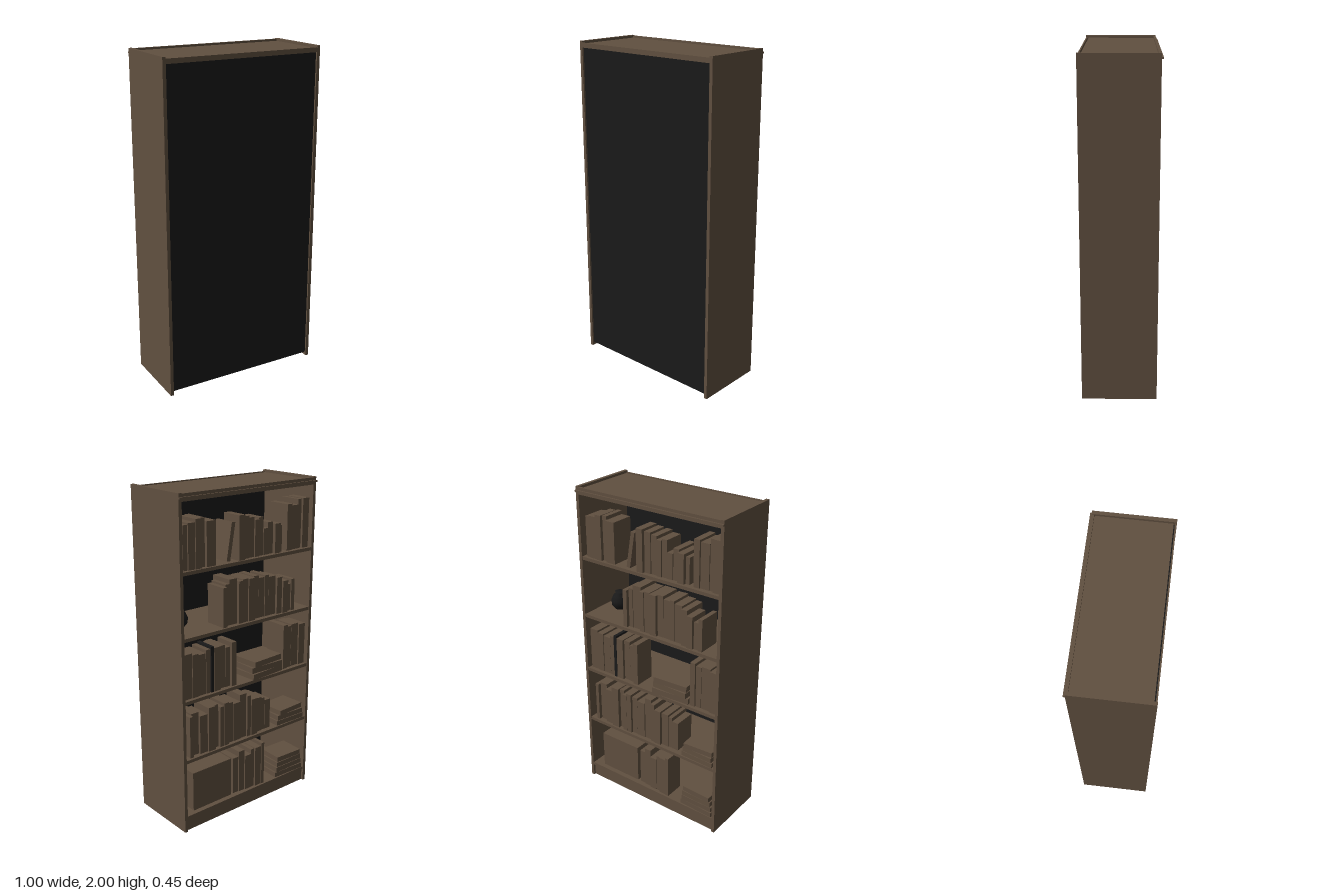
import * as THREE from 'three';

export function createModel() {
  const model = new THREE.Group();
  model.name = 'bookcase';
  const wood = new THREE.MeshStandardMaterial({ color: 0x615040 });
  wood.name = 'brown wood';
  const black = new THREE.MeshStandardMaterial({ color: 0x1a1a1a });
  black.name = 'soft black';

  let seed = 11;
  const rand = () => (seed = (seed * 16807) % 2147483647) / 2147483647;

  // Box given by its lower and upper limits on each axis
  function box(name, x0, x1, y0, y1, z0, z1, mat = wood, parent = model) {
    const m = new THREE.Mesh(new THREE.BoxGeometry(x1 - x0, y1 - y0, z1 - z0), mat);
    m.position.set((x0 + x1) / 2, (y0 + y1) / 2, (z0 + z1) / 2);
    m.name = name;
    parent.add(m);
    return m;
  }

  // Carcass; the open side with the books faces -z
  box('leftSide', 0.48, 0.5, 0, 2, -0.214, 0.223);
  box('rightSide', -0.5, -0.48, 0, 2, -0.214, 0.223);
  box('topPanel', -0.48, 0.48, 1.965, 1.985, -0.2, 0.207);
  box('topTrim', -0.48, 0.48, 1.955, 1.997, -0.214, -0.2);
  box('topLip', -0.5, 0.5, 1.97, 1.98, -0.224, -0.214);
  box('topRail', -0.48, 0.48, 1.962, 1.99, 0.213, 0.221);
  box('backPanel', -0.48, 0.48, 0.022, 1.972, 0.207, 0.213, black);
  box('kickPlate', -0.48, 0.48, 0, 0.08, -0.2, -0.185);

  const shelfTops = [1.583, 1.21, 0.837, 0.468, 0.1];
  shelfTops.forEach((y) => box('shelf', -0.48, 0.48, y - 0.02, y, -0.211, 0.207));

  // Upright books running from x = a down to x = b, heights going from h0 to h1
  function row(shelf, a, b, h0, h1, darkAt = -1) {
    const group = new THREE.Group();
    group.name = 'bookRow';
    const y = shelfTops[shelf];
    const count = Math.max(2, Math.round((a - b) / 0.042));
    const widths = Array.from({ length: count }, (_, i) => (i === darkAt ? 0.5 : 0.6 + rand() * 0.8));
    const unit = (a - b) / widths.reduce((s, w) => s + w, 0);
    let x = a;
    widths.forEach((w, i) => {
      const h = h0 + (h1 - h0) * (i / (count - 1)) + (rand() - 0.5) * 0.05;
      const z = -0.19 + (rand() - 0.5) * 0.025;
      const next = x - w * unit;
      box('book', next + 0.002, x, y, y + h, z, z + 0.125 + rand() * 0.03,
        i === darkAt ? black : wood, group);
      x = next;
    });
    model.add(group);
  }

  // Flat books lying on one another, each turned a little
  function stack(shelf, x, width, count, thick) {
    const group = new THREE.Group();
    group.name = 'bookStack';
    for (let i = 0; i < count; i++) {
      const y = shelfTops[shelf] + i * thick;
      const w = (width - i * 0.012) / 2;
      const book = box('flatBook', x - w, x + w, y, y + thick - 0.003, -0.205, -0.045, wood, group);
      book.rotation.y = (rand() - 0.5) * 0.16;
    }
    model.add(group);
  }

  row(0, 0.46, 0.24, 0.25, 0.27);
  row(0, 0.08, -0.12, 0.24, 0.23);
  row(0, -0.12, -0.27, 0.17, 0.18);
  row(0, -0.3, -0.475, 0.25, 0.28);
  row(1, 0.19, -0.17, 0.24, 0.26);
  row(1, -0.17, -0.37, 0.22, 0.18);
  row(2, 0.47, 0.09, 0.27, 0.26, 4);
  row(2, -0.29, -0.475, 0.28, 0.25);
  row(3, 0.44, 0, 0.26, 0.27);
  row(3, 0, -0.2, 0.25, 0.2);
  row(4, 0.1, -0.14, 0.25, 0.27);
  stack(2, -0.15, 0.25, 3, 0.038);
  stack(3, -0.355, 0.22, 3, 0.034);
  stack(4, -0.355, 0.23, 4, 0.035);

  // Book leaning on its neighbours on the top shelf
  const leaning = box('leaningBook', 0.1, 0.125, 1.586, 1.805, -0.19, -0.055);
  leaning.rotation.z = 0.17;
  leaning.position.x = 0.13;

  // Storage box on the bottom shelf
  box('storageBox', 0.12, 0.41, 0.1, 0.35, -0.18, 0.02);

  // Squat black vase on the second shelf
  const profile = [[0, 0], [0.03, 0], [0.05, 0.025], [0.053, 0.055], [0.04, 0.085], [0.026, 0.1], [0.028, 0.112], [0, 0.112]]
    .map(([r, y]) => new THREE.Vector2(r, y));
  const vase = new THREE.Mesh(new THREE.LatheGeometry(profile, 20), black);
  vase.position.set(0.37, shelfTops[1], -0.015);
  vase.name = 'vase';
  model.add(vase);

  return model;
}
